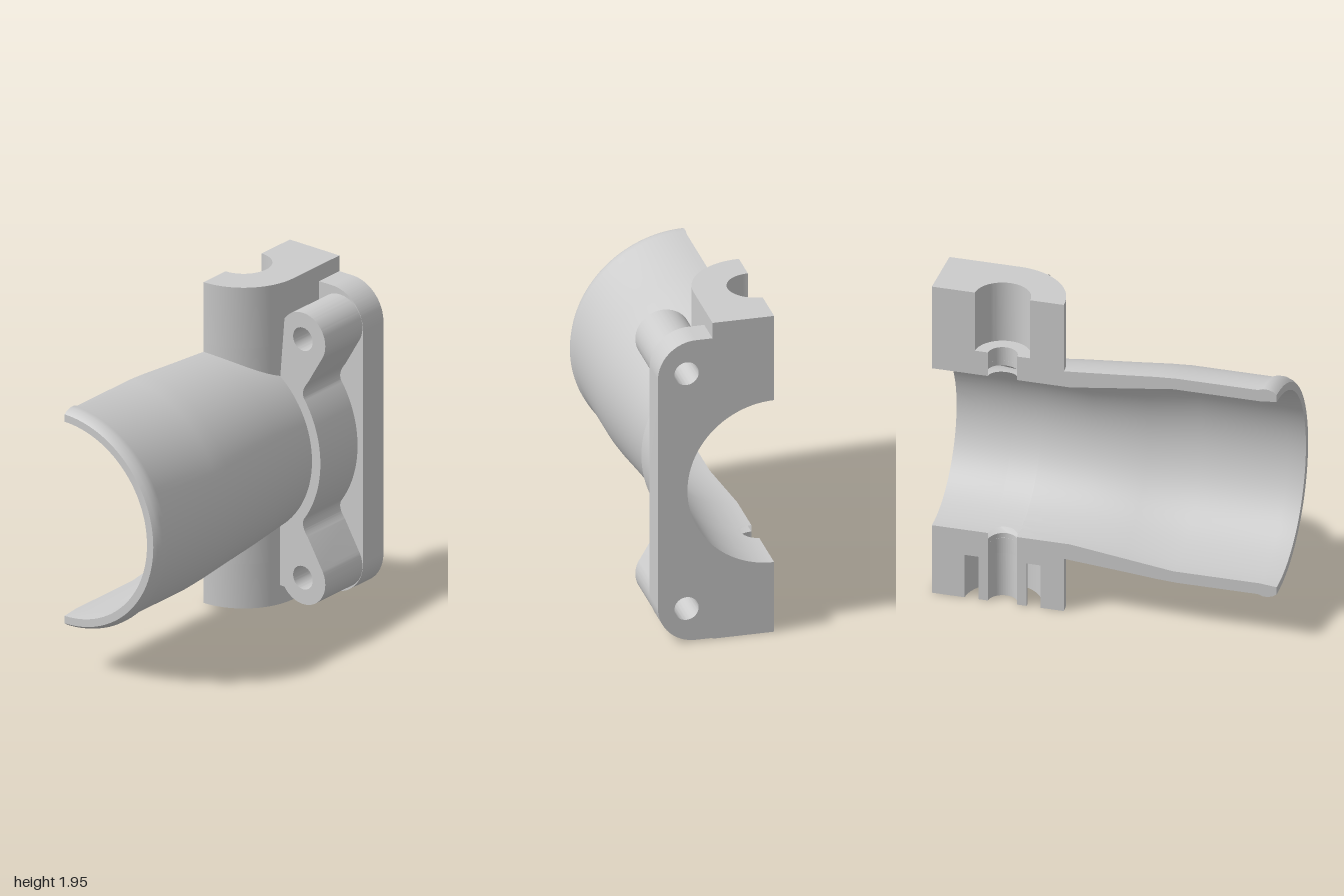
import * as THREE from 'three';
import { toCreasedNormals } from 'three/addons/utils/BufferGeometryUtils.js';

const CX = -0.34, CY = 0.93;   // tube axis (runs along z); the part is cut at x = CX
const HZ = -0.59, HR = 0.085;  // vertical drilling through both bosses

export function createModel() {
  const group = new THREE.Group();
  const material = new THREE.MeshStandardMaterial({ color: 0xcccccc, side: THREE.DoubleSide });
  const add = (name, geometry) => {
    const mesh = new THREE.Mesh(toCreasedNormals(geometry, 0.5), material);
    mesh.name = name;
    group.add(mesh);
  };

  // Tube: closed wall profile [r, z] swept through half a turn
  const drilled = (r, sign) => Array.from({ length: 13 }, (_, i) =>
    [r, HZ - sign * HR * Math.cos(i * Math.PI / 12)]);
  const profile = [
    [0.5, -1], [0.57, -1], ...drilled(0.57, 1), [0.57, -0.49], [0.6, -0.2],
    [0.625, 0.1], [0.643, 0.3], [0.65, 0.42], [0.65, 0.89], [0.66, 0.92], [0.66, 0.95], [0.65, 0.98], [0.635, 1],
    [0.59, 1], [0.58, 0.9], [0.58, 0.4], [0.54, 0.1], [0.5, -0.2], ...drilled(0.5, -1), [0.5, -1],
  ];
  const cols = 64, pos = [], idx = [];
  profile.forEach(([r, z], i) => {
    // each row starts and stops at the edge of the drilling
    const t0 = Math.asin(Math.sqrt(Math.max(0, HR * HR - (z - HZ) ** 2)) / r);
    for (let j = 0; j <= cols; j++) {
      const t = t0 + (Math.PI - 2 * t0) * j / cols;
      pos.push(CX + r * Math.sin(t), CY + r * Math.cos(t), z);
      if (i < profile.length - 1 && j < cols) {
        const a = i * (cols + 1) + j, b = a + cols + 1;
        idx.push(a, b, a + 1, b, b + 1, a + 1);
      }
    }
  });
  const tube = new THREE.BufferGeometry();
  tube.setAttribute('position', new THREE.Float32BufferAttribute(pos, 3));
  tube.setIndex(idx);
  add('tube', tube);

  // Cut faces of the tube wall, before and behind the drilling
  for (const side of [1, -1]) {
    for (const keep of [z => z < HZ - HR + 0.001, z => z > HZ + HR - 0.001]) {
      const pts = profile.slice(0, -1).filter(p => keep(p[1]))
        .map(([r, z]) => new THREE.Vector2(z, CY + side * r));
      const cap = new THREE.ShapeGeometry(new THREE.Shape(pts));
      add('tubeCutFace', cap.rotateY(-Math.PI / 2).translate(CX, 0, 0));
    }
  }

  // Vertical bosses: plan outline with a half-round notch of radius h
  const bossPlan = h => {
    const s = new THREE.Shape();
    s.moveTo(CX, 1);
    s.lineTo(0.015, 1);
    s.lineTo(0.015, -HZ);
    s.absarc(CX, -HZ, 0.355, 0, -Math.PI / 2, true);
    s.lineTo(CX, -HZ - h);
    s.absarc(CX, -HZ, h, -Math.PI / 2, Math.PI / 2, false);
    return s;
  };
  const raise = (shape, y0, y1) => new THREE.ExtrudeGeometry(shape,
    { depth: y1 - y0, bevelEnabled: false, curveSegments: 24 })
    .rotateX(-Math.PI / 2).translate(0, y0, 0);
  // the end marked yEnd follows the tube wall
  const saddle = (geo, yEnd, side) => {
    const p = geo.attributes.position;
    for (let i = 0; i < p.count; i++) {
      if (Math.abs(p.getY(i) - yEnd) < 1e-4) {
        p.setY(i, CY + side * Math.sqrt(0.54 ** 2 - (p.getX(i) - CX) ** 2));
      }
    }
    return geo;
  };
  add('topBossRim', raise(bossPlan(0.16), 1.58, 1.95));
  add('topBossBase', saddle(raise(bossPlan(HR), 1.3, 1.58), 1.3, 1));
  add('bottomBossRim', raise(bossPlan(0.22), 0, 0.27));
  add('bottomBossBase', saddle(raise(bossPlan(HR), 0.27, 0.6), 0.6, -1));

  // Spigot around the drilling inside the bottom recess
  const ring = new THREE.Shape();
  ring.absarc(CX, -HZ, 0.14, -Math.PI / 2, Math.PI / 2, false);
  ring.absarc(CX, -HZ, HR, Math.PI / 2, -Math.PI / 2, true);
  add('bottomSpigot', raise(ring, 0, 0.27));

  // Flange plate and lugs share the two bolt holes
  const BX = 0.165, BY = 0.725;
  const drillBolts = shape => {
    for (const side of [1, -1]) {
      const hole = new THREE.Path();
      hole.absarc(BX, CY + side * BY, 0.07, 0, Math.PI * 2, false);
      shape.holes.push(hole);
    }
    return shape;
  };
  const forward = (shape, z0, z1) => new THREE.ExtrudeGeometry(shape,
    { depth: z1 - z0, bevelEnabled: false, curveSegments: 32 }).translate(0, 0, z0);

  const plate = new THREE.Shape();
  plate.moveTo(CX, 0.005);
  plate.lineTo(0.11, 0.005);
  plate.absarc(0.11, 0.225, 0.22, -Math.PI / 2, 0, false);
  plate.absarc(0.11, 1.635, 0.22, 0, Math.PI / 2, false);
  plate.lineTo(CX, 1.855);
  plate.absarc(CX, CY, 0.5, Math.PI / 2, -Math.PI / 2, true);
  add('flangePlate', forward(drillBolts(plate), -1, -0.82));

  // Lug body: two rounded ears with a waist running into a collar round the tube
  const R = 0.16, tip = -0.6, neck = 0.62;
  const body = new THREE.Shape();
  body.moveTo(0, CY - 0.42);
  body.lineTo(0, CY - BY - 0.09);
  body.absarc(BX, CY - BY, R, Math.PI + 0.6, Math.PI * 2 - tip, false);
  body.lineTo(0.2, CY - 0.47);
  body.quadraticCurveTo(0.15, CY - 0.41, CX + 0.63 * Math.cos(neck), CY - 0.63 * Math.sin(neck));
  body.absarc(CX, CY, 0.63, -neck, neck, false);
  body.quadraticCurveTo(0.15, CY + 0.41, 0.2, CY + 0.47);
  body.absarc(BX, CY + BY, R, tip, Math.PI - 0.6, false);
  body.lineTo(0, CY + 0.42);
  body.absarc(CX, CY, 0.54, 0.89, -0.89, true);
  add('boltLugs', forward(drillBolts(body), -0.83, -0.49));

  return group;
}
